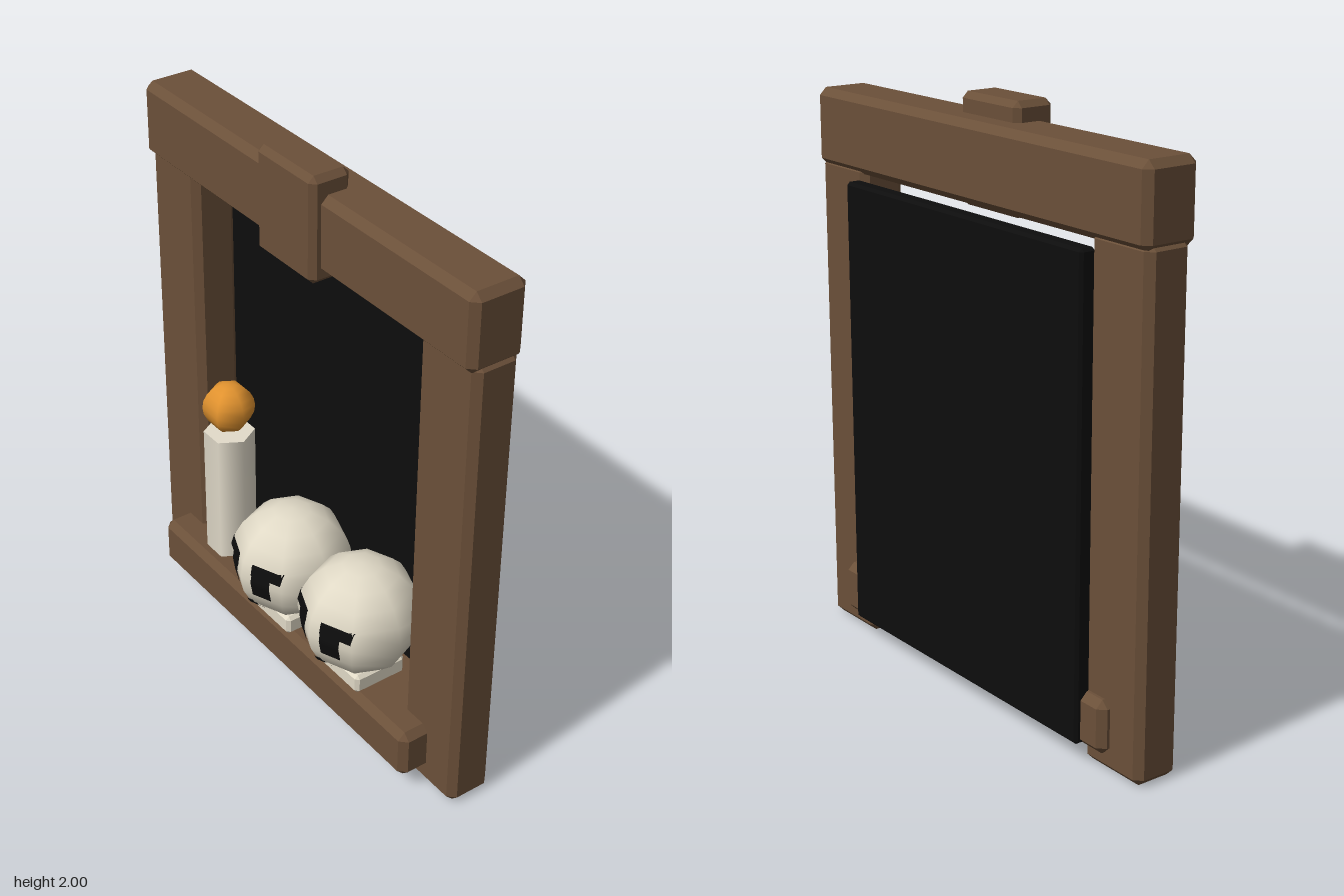
import * as THREE from 'three';
import { ConvexGeometry } from 'three/addons/geometries/ConvexGeometry.js';

const mat = (name, color) => {
  const m = new THREE.MeshStandardMaterial({ color });
  m.name = name;
  return m;
};

// Box with chamfered edges, given by its extents
function chamferBox([x0, x1], [y0, y1], [z0, z1], c) {
  const h = [(x1 - x0) / 2, (y1 - y0) / 2, (z1 - z0) / 2];
  const pts = [];
  for (const sx of [-1, 1]) for (const sy of [-1, 1]) for (const sz of [-1, 1])
    for (let a = 0; a < 3; a++) {
      const d = h.map((v, i) => (i === a ? v : v - c));
      pts.push(new THREE.Vector3(sx * d[0], sy * d[1], sz * d[2]));
    }
  return new ConvexGeometry(pts).translate((x0 + x1) / 2, (y0 + y1) / 2, (z0 + z1) / 2);
}

// Skull: eight sides around, ten rings high, slightly squashed
const R = 0.212, RINGS = 10, SQUASH = 0.96;

// Depth of the skull's faceted front at a point (x, y)
function skullDepth(x, y) {
  const step = Math.PI / RINGS;
  const t = Math.acos(THREE.MathUtils.clamp(y / (R * SQUASH), -1, 1));
  let rho = 0;
  for (let i = 0; i < RINGS; i++) {
    const ya = R * SQUASH * Math.cos(i * step), yb = R * SQUASH * Math.cos((i + 1) * step);
    if (t >= i * step - 1e-6 && y <= ya + 1e-6 && y >= yb - 1e-6)
      rho = R * THREE.MathUtils.lerp(Math.sin(i * step), Math.sin((i + 1) * step), (ya - y) / (ya - yb));
  }
  const k = Math.SQRT2 - 1, ax = Math.abs(x);
  return Math.max(0, Math.min(rho - k * ax, (rho - ax) / k));
}

// Thin patch that follows the front of the skull
function facePatch(x0, x1, y0, y1) {
  const g = new THREE.PlaneGeometry(x1 - x0, y1 - y0, 8, 8).translate((x0 + x1) / 2, (y0 + y1) / 2, 0);
  const p = g.attributes.position;
  for (let i = 0; i < p.count; i++) p.setZ(i, skullDepth(p.getX(i), p.getY(i)) + 0.005);
  g.computeVertexNormals();
  return g;
}

export function createModel() {
  const root = new THREE.Group();
  root.name = 'skullShrine';
  const wood = mat('wood', 0x6b5039);
  const black = mat('black', 0x0d0d0d);
  const bone = mat('bone', 0xe0d9c6);
  const wax = mat('wax', 0xe3dccb);
  const flameMat = mat('flame', 0xe2932f);

  const add = (name, geometry, material, parent = root) => {
    const m = new THREE.Mesh(geometry, material);
    m.name = name;
    parent.add(m);
    return m;
  };

  // Frame
  add('leftPost', chamferBox([0.59, 0.855], [0, 1.7], [-0.165, 0], 0.025), wood);
  add('rightPost', chamferBox([-0.855, -0.59], [0, 1.7], [-0.165, 0], 0.025), wood);
  add('topBeam', chamferBox([-0.855, 0.855], [1.67, 1.935], [-0.178, 0.023], 0.025), wood);
  add('keystone', chamferBox([-0.15, 0.147], [1.637, 2], [-0.09, 0.057], 0.02), wood);
  add('shelf', chamferBox([-0.72, 0.72], [0.063, 0.245], [-0.2, 0.1], 0.025), wood);
  add('backPanel', chamferBox([-0.62, 0.62], [0.07, 1.65], [-0.218, -0.16], 0.01), black);

  // Candle
  const candle = add('candle', new THREE.CylinderGeometry(0.09, 0.09, 0.51, 6, 1, false, Math.PI / 6), wax);
  candle.position.set(-0.455, 0.49, -0.025);
  const flame = add('flame', new THREE.SphereGeometry(0.092, 6, 10), flameMat);
  flame.position.set(-0.455, 0.845, -0.025);

  // Skulls
  for (const [name, x, y] of [['rightSkull', -0.04, 0.466], ['leftSkull', 0.353, 0.485]]) {
    const skull = new THREE.Group();
    skull.name = name;
    skull.position.set(x, y, 0);
    root.add(skull);
    add('cranium', new THREE.SphereGeometry(R, 8, RINGS).scale(1, SQUASH, 1), bone, skull);
    add('jaw', chamferBox([-0.117, 0.117], [-0.232, -0.16], [-0.1, 0.1], 0.012), bone, skull);
    for (const s of [-1, 1]) {
      const span = (a, b) => (s > 0 ? [a, b] : [-b, -a]);
      add('brow', facePatch(...span(0.037, 0.146), 0.027, 0.069), black, skull);
      add('eyeSocket', facePatch(...span(0.04, 0.108), -0.055, 0.03), black, skull);
    }
    add('mouthTop', facePatch(-0.022, 0.022, -0.112, -0.098), black, skull);
    add('mouth', facePatch(-0.032, 0.032, -0.155, -0.11), black, skull);
    add('mouthBottom', facePatch(-0.024, 0.024, -0.188, -0.154), black, skull);
  }
  return root;
}
